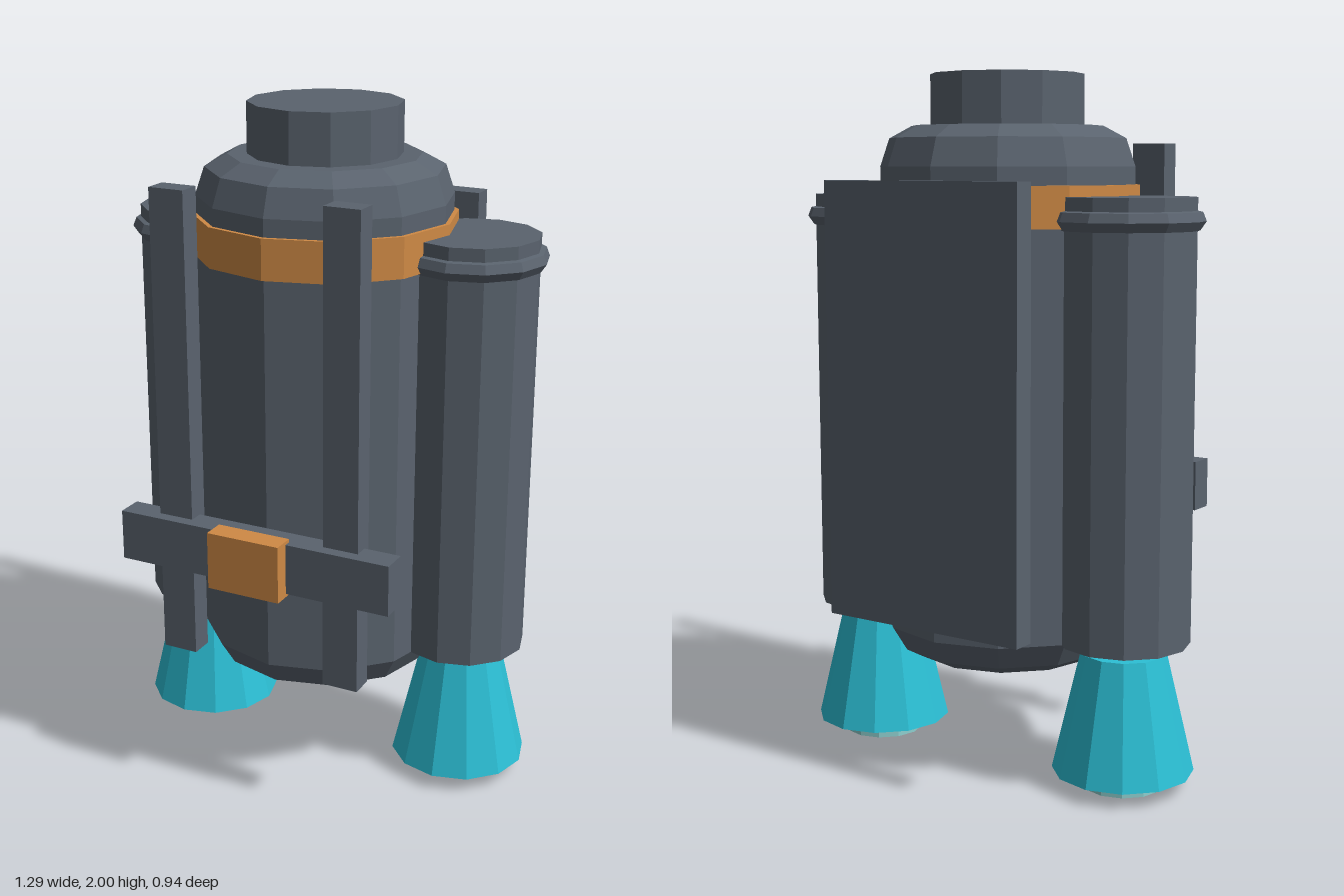
import * as THREE from 'three';

const mat = (name, color) => {
  const m = new THREE.MeshStandardMaterial({ color });
  m.name = name;
  m.flatShading = true;
  return m;
};

export function createModel() {
  const model = new THREE.Group();
  model.name = 'jetpack';
  const grey = mat('steel grey', 0x5a636e);
  const orange = mat('orange trim', 0xcf8a45);
  const cyan = mat('nozzle cyan', 0x2cc0d6);
  const pale = mat('pale core', 0x8fd0d0);
  const SIDES = 12;

  const add = (name, geometry, material, x = 0, y = 0, z = 0) => {
    const mesh = new THREE.Mesh(geometry, material);
    mesh.name = name;
    mesh.position.set(x, y, z);
    model.add(mesh);
    return mesh;
  };
  // Upright faceted drum or cone between two heights
  const drum = (name, material, rTop, rBottom, y0, y1, x, z) =>
    add(name, new THREE.CylinderGeometry(rTop, rBottom, y1 - y0, SIDES), material, x, (y0 + y1) / 2, z);
  // Faceted turned shape; profile runs from bottom to top
  const turned = (name, material, profile, x, z) =>
    add(name, new THREE.LatheGeometry(profile.map(p => new THREE.Vector2(...p)), SIDES), material, x, 0, z);
  // Box given by its limits
  const block = (name, material, x0, x1, y0, y1, z0, z1) =>
    add(name, new THREE.BoxGeometry(x1 - x0, y1 - y0, z1 - z0), material,
      (x0 + x1) / 2, (y0 + y1) / 2, (z0 + z1) / 2);

  // Central tank with bevelled ends, neck and trim band
  const bodyZ = -0.04;
  turned('mainTank', grey, [
    [0, 0.32], [0.27, 0.32], [0.325, 0.35], [0.367, 0.42],
    [0.367, 1.74], [0.34, 1.82], [0.275, 1.855], [0, 1.855],
  ], 0, bodyZ);
  drum('neck', grey, 0.22, 0.22, 1.84, 2, 0, bodyZ);
  drum('trimBand', orange, 0.38, 0.38, 1.575, 1.69, 0, bodyZ);

  // Paired side boosters, nozzles and shoulder straps
  for (const [side, s] of [['left', 1], ['right', -1]]) {
    const x = s * 0.433, z = -0.094;
    drum(side + 'Booster', grey, 0.187, 0.187, 0.42, 1.66, x, z);
    turned(side + 'BoosterLip', grey, [
      [0.18, 1.57], [0.194, 1.57], [0.211, 1.595], [0.201, 1.62], [0.18, 1.625],
    ], x, z);
    drum(side + 'Nozzle', cyan, 0.121, 0.202, 0.045, 0.39, x, z);
    drum(side + 'NozzleCore', pale, 0.118, 0.118, 0, 0.06, x, z);
    const cx = s * 0.261;
    block(side + 'Strap', grey, cx - 0.053, cx + 0.053, 0.44, 1.807, 0.32, 0.388);
  }

  // Belt and buckle in front, plate at the back
  block('belt', grey, -0.422, 0.422, 0.715, 0.863, 0.345, 0.423);
  block('buckle', orange, -0.111, 0.111, 0.705, 0.873, 0.402, 0.469);
  block('backPlate', grey, -0.321, 0.321, 0.47, 1.703, -0.469, -0.403);

  return model;
}
